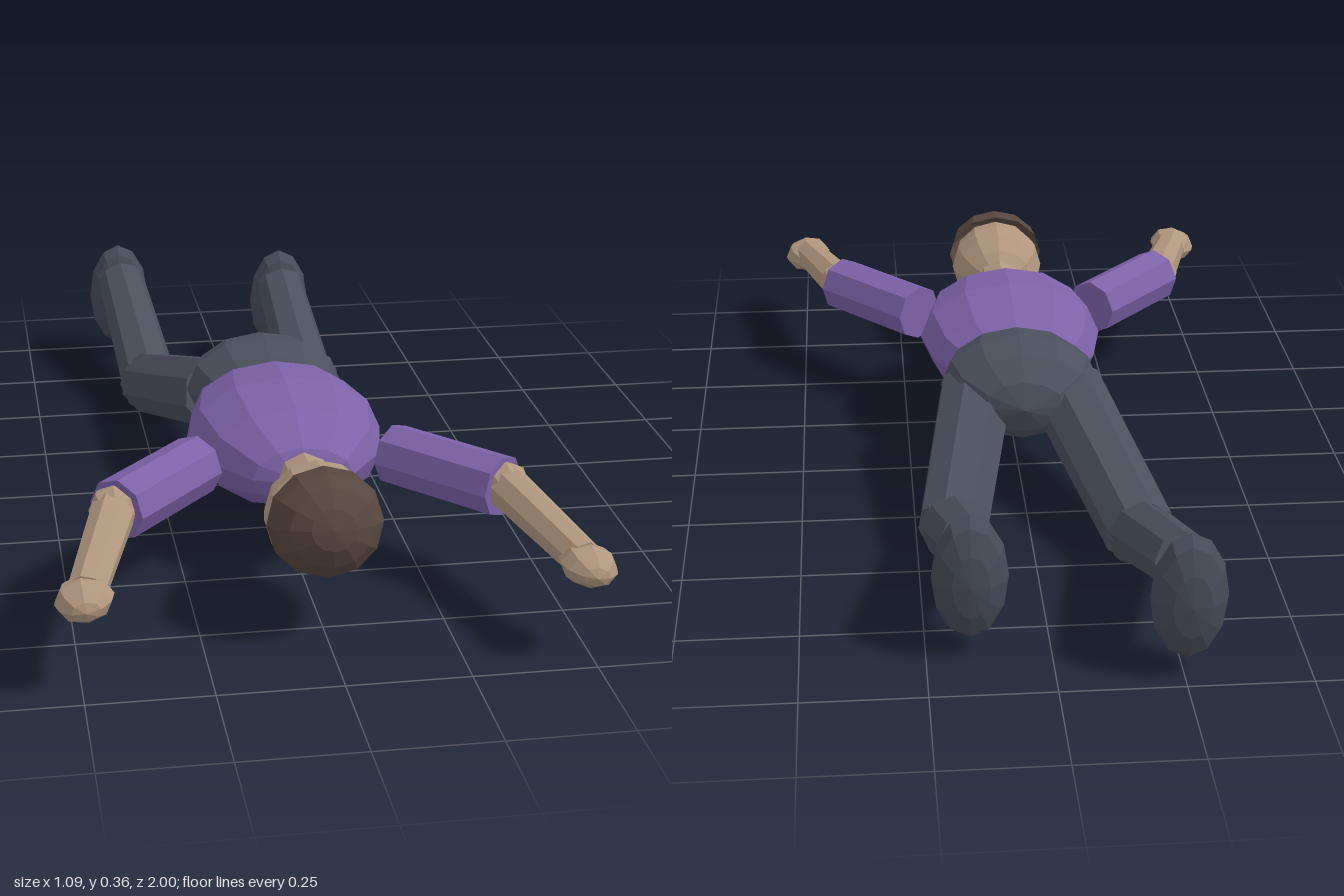
import * as THREE from 'three';

export function createModel() {
  const model = new THREE.Group();
  model.name = 'lyingFigure';

  const material = (name, color) => {
    const m = new THREE.MeshStandardMaterial({ color, flatShading: true });
    m.name = name;
    return m;
  };
  const skin = material('skin', 0xb0967e);
  const shirt = material('purpleShirt', 0x7d62a8);
  const trousers = material('greyTrousers', 0x4b505c);
  const shoes = material('darkShoes', 0x464b57);
  const hairBrown = material('brownHair', 0x58463f);
  const eyeDark = material('eyeDark', 0x2a211c);

  const add = (name, geometry, mat, parent = model) => {
    const mesh = new THREE.Mesh(geometry, mat);
    mesh.name = name;
    parent.add(mesh);
    return mesh;
  };

  // Faceted ellipsoid whose poles lie along the body (z)
  const ellipsoid = (name, mat, center, radii, parent, segments = 12, rings = 6) => {
    const g = new THREE.SphereGeometry(1, segments, rings).rotateX(Math.PI / 2);
    g.scale(...radii);
    const mesh = add(name, g, mat, parent);
    mesh.position.set(...center);
    return mesh;
  };

  // Eight-sided cylinder running between two points
  const limb = (name, mat, from, to, r0, r1, parent) => {
    const a = new THREE.Vector3(...from);
    const b = new THREE.Vector3(...to);
    const dir = b.clone().sub(a);
    const mesh = add(name, new THREE.CylinderGeometry(r1, r0, dir.length(), 8), mat, parent);
    mesh.position.copy(a).add(b).multiplyScalar(0.5);
    mesh.quaternion.setFromUnitVectors(new THREE.Vector3(0, 1, 0), dir.normalize());
    return mesh;
  };

  // Trunk, face down with the head towards +z
  ellipsoid('torso', shirt, [0, 0.23, 0.25], [0.214, 0.13, 0.295]);
  ellipsoid('hips', trousers, [0, 0.232, -0.04], [0.18, 0.118, 0.16]);
  limb('neck', skin, [0, 0.23, 0.46], [0, 0.23, 0.62], 0.058, 0.058);

  // Head with a tilted cap of hair and eyes on the underside
  ellipsoid('head', skin, [0, 0.232, 0.71], [0.114, 0.108, 0.138], model, 12, 8);
  const cap = new THREE.SphereGeometry(1, 12, 4, 0, Math.PI * 2, 0, Math.PI / 2).rotateX(Math.PI / 2);
  cap.scale(0.118, 0.112, 0.112);
  const hairMaterial = hairBrown;
  hairMaterial.side = THREE.DoubleSide;
  const hair = add('hair', cap, hairMaterial);
  hair.position.set(0, 0.244, 0.765);
  hair.rotation.x = -0.25;
  for (const s of [-1, 1]) {
    ellipsoid(s > 0 ? 'leftEye' : 'rightEye', eyeDark, [s * 0.04, 0.137, 0.745], [0.013, 0.011, 0.013], model, 6, 4);
  }

  // Arms reaching forward, mirrored
  for (const s of [-1, 1]) {
    const arm = new THREE.Group();
    arm.name = s > 0 ? 'leftArm' : 'rightArm';
    model.add(arm);
    limb('sleeve', shirt, [s * 0.212, 0.23, 0.403], [s * 0.4, 0.23, 0.615], 0.066, 0.066, arm);
    ellipsoid('elbow', skin, [s * 0.405, 0.232, 0.615], [0.052, 0.052, 0.052], arm, 8, 6);
    limb('forearm', skin, [s * 0.405, 0.232, 0.615], [s * 0.485, 0.198, 0.92], 0.047, 0.039, arm);
    const hand = ellipsoid('hand', skin, [s * 0.49, 0.194, 0.934], [0.058, 0.04, 0.066], arm, 8, 6);
    hand.rotation.z = -s * 0.15;
  }

  // Bent legs, each with its own pose
  const poses = [
    { name: 'leftLeg', hip: [0.1, 0.215, -0.05], knee: [0.173, 0.08, -0.445], ankle: [0.16, 0.222, -0.795], foot: [0.16, 0.172, -0.832] },
    { name: 'rightLeg', hip: [-0.105, 0.215, -0.05], knee: [-0.22, 0.08, -0.5], ankle: [-0.252, 0.222, -0.9], foot: [-0.257, 0.172, -0.942] },
  ];
  for (const { name, hip, knee, ankle, foot } of poses) {
    const leg = new THREE.Group();
    leg.name = name;
    model.add(leg);
    limb('thigh', trousers, hip, knee, 0.085, 0.078, leg);
    ellipsoid('knee', trousers, knee, [0.076, 0.076, 0.076], leg, 8, 6);
    limb('shin', trousers, knee, ankle, 0.07, 0.06, leg);
    ellipsoid('shoe', shoes, foot, [0.077, 0.137, 0.056], leg, 12, 6);
  }

  return model;
}
